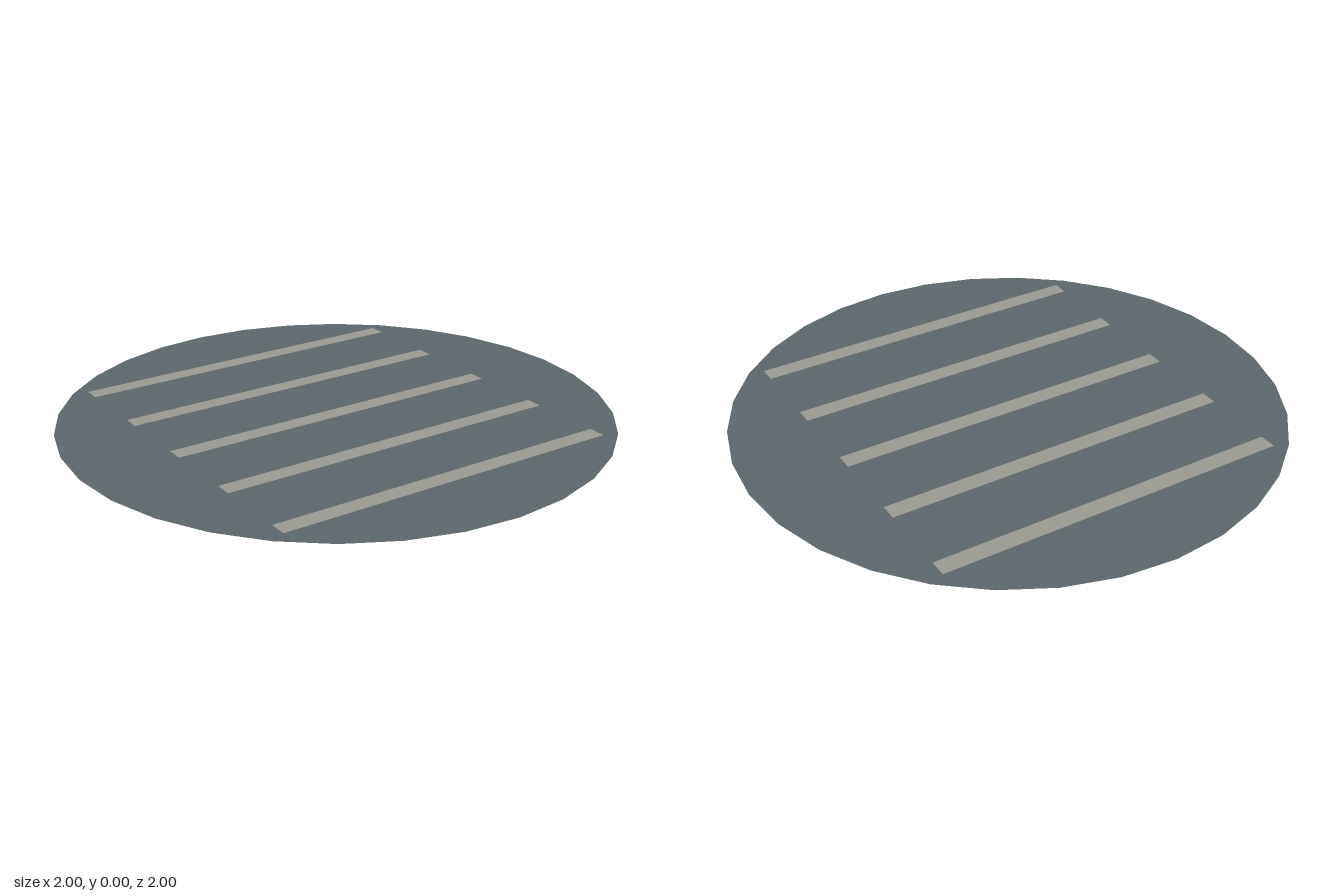
import * as THREE from 'three';

export function createModel() {
  const group = new THREE.Group();
  group.name = 'slottedDisc';

  const slate = new THREE.MeshStandardMaterial({ color: 0x5d686d, side: THREE.DoubleSide });
  slate.name = 'slate grey';
  const paleGrey = new THREE.MeshStandardMaterial({ color: 0x9c9c94 });
  paleGrey.name = 'pale grey';

  // Flat 32-sided disc lying on the ground
  const disc = new THREE.Mesh(new THREE.CircleGeometry(1, 32).rotateX(-Math.PI / 2), slate);
  disc.name = 'disc';
  group.add(disc);

  // Five parallel painted stripes, just above the disc
  const stripeGeometry = new THREE.PlaneGeometry(1.31, 0.065).rotateX(-Math.PI / 2);
  for (let i = -2; i <= 2; i++) {
    const stripe = new THREE.Mesh(stripeGeometry, paleGrey);
    stripe.name = `stripe${i + 3}`;
    stripe.position.set(0, 0.003, i * 0.328);
    group.add(stripe);
  }

  return group;
}
